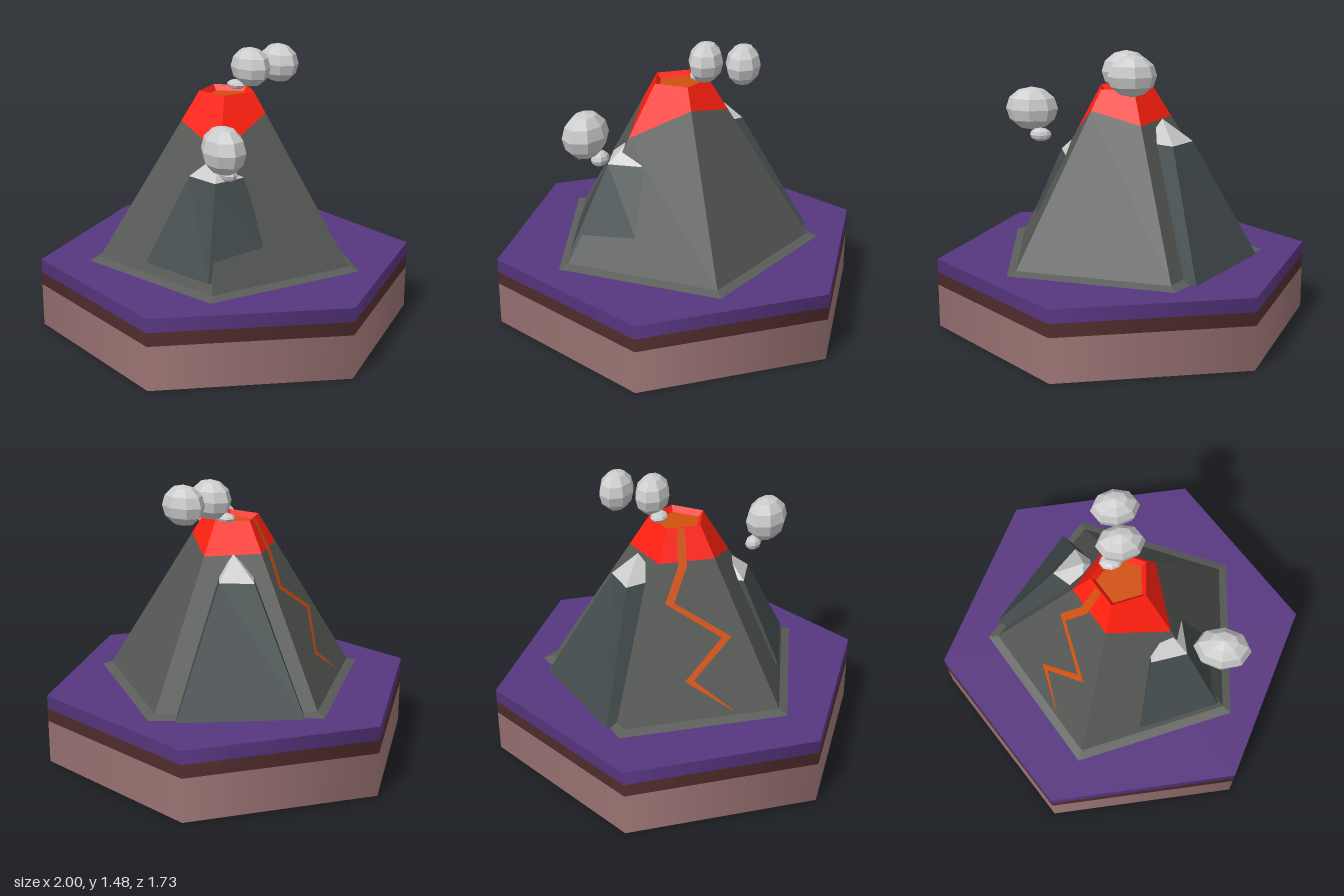
import * as THREE from 'three';

const mat = (color, extra = {}) => new THREE.MeshStandardMaterial({ color, ...extra });

// Faceted surface joining rings of [x, y, z] corners, from bottom to top
function loft(name, rings, color) {
  const pos = [];
  for (let k = 0; k < rings.length - 1; k++) {
    const lo = rings[k], hi = rings[k + 1], n = lo.length;
    for (let i = 0; i < n; i++) {
      const j = (i + 1) % n;
      pos.push(...lo[i], ...hi[i], ...hi[j], ...lo[i], ...hi[j], ...lo[j]);
    }
  }
  const geo = new THREE.BufferGeometry();
  geo.setAttribute('position', new THREE.Float32BufferAttribute(pos, 3));
  geo.computeVertexNormals();
  const mesh = new THREE.Mesh(geo, mat(color, { flatShading: true }));
  mesh.name = name;
  return mesh;
}

// The mountain is a regular five-sided cone
const FOOT = 0.39, TOP = 1.265;
const slopeRadius = (y) => 0.69 - (0.54 * (y - FOOT)) / (TOP - FOOT);
const angles = [44, 116, 188, 260, 332].map(THREE.MathUtils.degToRad);
const ring = (radius, y) => angles.map((a) => [Math.cos(a) * radius, y, Math.sin(a) * radius]);
const slopeRing = (ys) => angles.map((a, i) => {
  const r = slopeRadius(ys[i]);
  return [Math.cos(a) * r, ys[i], Math.sin(a) * r];
});
const level = (y, corners) => corners.map(([x, z]) => [x, y, z]);

// Side peak with a pale pointed cap
function sidePeak(name, foot, shoulder, apex) {
  const g = new THREE.Group();
  g.name = name;
  g.add(loft(name + 'Body', [foot, shoulder], 0x434c4d));
  g.add(loft(name + 'Cap', [shoulder, shoulder.map(() => apex)], 0xcccccc));
  return g;
}

export function createModel() {
  const model = new THREE.Group();
  model.name = 'volcanoIsland';

  // Layered hexagonal ground
  for (const [name, y0, y1, color] of [
    ['rockLayer', 0, 0.23, 0x9c7474],
    ['soilLayer', 0.23, 0.3, 0x512d2d],
    ['groundLayer', 0.3, 0.372, 0x573680],
  ]) {
    const geo = new THREE.CylinderGeometry(1, 1, y1 - y0, 6, 1, false, Math.PI / 2);
    const mesh = new THREE.Mesh(geo, mat(color));
    mesh.position.y = (y0 + y1) / 2;
    mesh.name = name;
    model.add(mesh);
  }

  // Mountain, with an uneven red band below the crater
  const band = slopeRing([1.0, 1.11, 1.11, 1.1, 1.16]);
  const rim = ring(slopeRadius(TOP), TOP);
  const floor = ring(0.125, 1.235);
  model.add(
    loft('mountainSkirt', [ring(0.745, 0.372), ring(0.69, FOOT)], 0x5a5d59),
    loft('mountainSlopes', [ring(0.69, FOOT), band], 0x555855),
    loft('moltenRim', [band, rim, floor], 0xff2010),
    loft('craterLava', [floor, ring(0, 1.235)], 0xd2500f),
  );

  // Two smaller peaks leaning on the slopes
  model.add(
    sidePeak('frontPeak',
      level(0.44, [[0.03, 0.1], [0.52, 0.064], [0.465, 0.475], [0.03, 0.55]]),
      level(0.88, [[0.11, 0.13], [0.3, 0.13], [0.3, 0.31], [0.11, 0.33]]),
      [0.2, 1.0, 0.2]),
    sidePeak('backPeak',
      level(0.374, [[-0.68, -0.19], [-0.25, -0.66], [0, -0.4], [-0.4, 0.1]]),
      level(1.0, [[-0.33, -0.18], [-0.2, -0.3], [-0.08, -0.18], [-0.2, -0.05]]),
      [-0.17, 1.12, -0.165]),
  );

  // Zigzag lava crack lying on the front right slope
  const path = [[-0.12, 1.26, 0.01], [-0.2, 1.09, 0.011], [-0.31, 0.93, 0.011],
    [-0.26, 0.75, 0.012], [-0.44, 0.57, 0.011], [-0.41, 0.41, 0.001]];
  const a = THREE.MathUtils.degToRad(152);
  const onSlope = (x, y) => {
    const d = slopeRadius(y) * Math.cos(Math.PI / 5) + 0.004;
    return [x, y, (d - x * Math.cos(a)) / Math.sin(a)];
  };
  const strip = [];
  for (let i = 0; i < path.length - 1; i++) {
    const [x0, y0, w0] = path[i], [x1, y1, w1] = path[i + 1];
    const p = onSlope(x0 - w0, y0), q = onSlope(x0 + w0, y0);
    const r = onSlope(x1 - w1, y1), s = onSlope(x1 + w1, y1);
    strip.push(...p, ...r, ...s, ...p, ...s, ...q);
  }
  const crackGeo = new THREE.BufferGeometry();
  crackGeo.setAttribute('position', new THREE.Float32BufferAttribute(strip, 3));
  crackGeo.computeVertexNormals();
  const crack = new THREE.Mesh(crackGeo, mat(0xd2500f, { side: THREE.DoubleSide }));
  crack.name = 'lavaCrack';
  model.add(crack);

  // Faceted smoke puffs: centre, radii, tilt
  const smoke = new THREE.Group();
  smoke.name = 'smoke';
  const puffGeo = new THREE.SphereGeometry(1, 8, 6);
  for (const [c, r, tilt] of [
    [[0.015, 1.37, -0.14], [0.125, 0.105, 0.09], 0],
    [[0.015, 1.37, -0.332], [0.125, 0.105, 0.09], 0],
    [[-0.04, 1.275, -0.09], [0.06, 0.025, 0.045], 0],
    [[0.455, 1.097, 0.375], [0.145, 0.12, 0.105], -0.25],
    [[0.415, 0.96, 0.315], [0.06, 0.038, 0.042], -0.25],
  ]) {
    const puff = new THREE.Mesh(puffGeo, mat(0xcccccc, { flatShading: true }));
    puff.position.set(...c);
    puff.scale.set(...r);
    puff.rotation.y = tilt;
    puff.name = 'smokePuff';
    smoke.add(puff);
  }
  model.add(smoke);
  return model;
}
